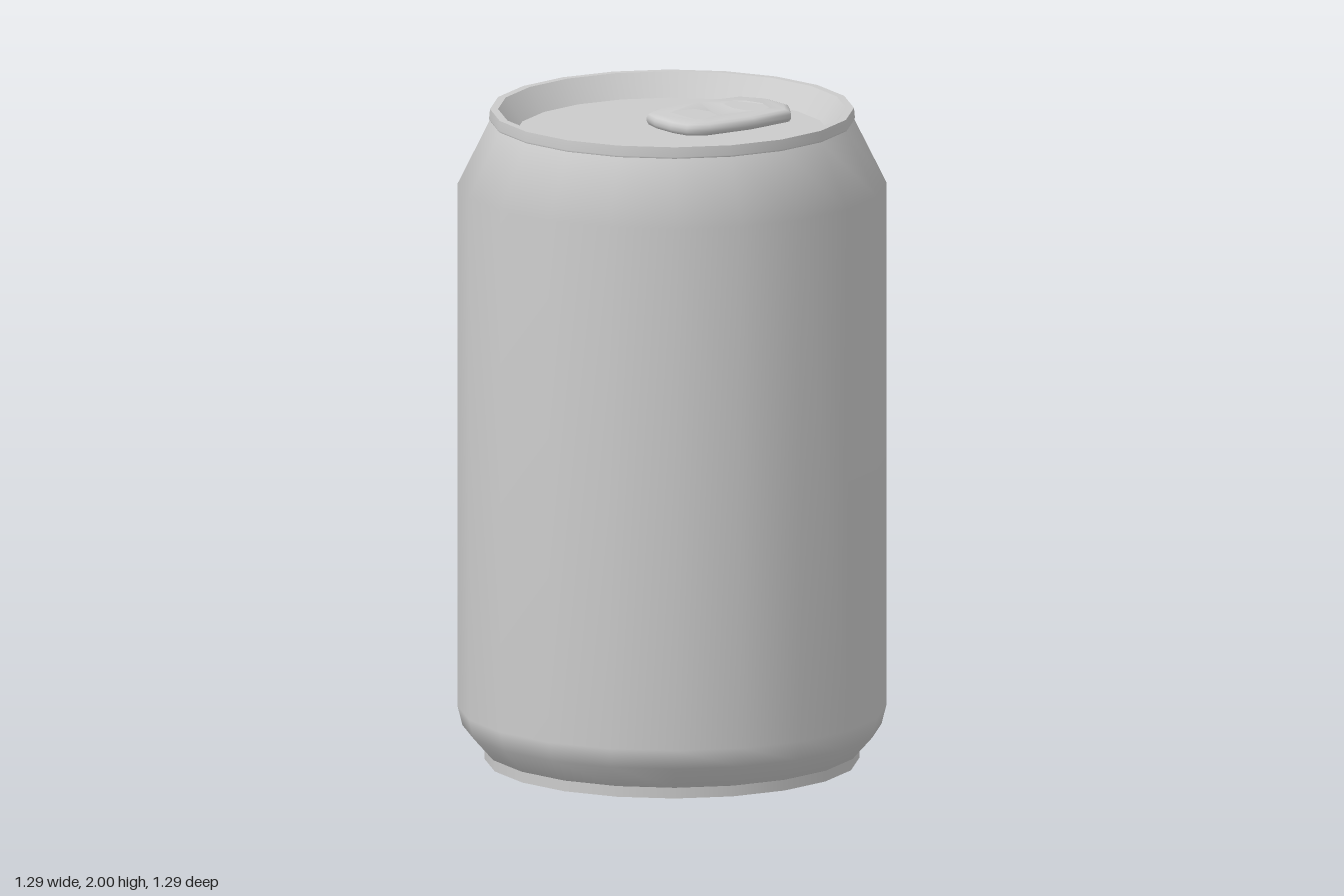
import * as THREE from 'three';
import { mergeVertices, toCreasedNormals } from 'three/addons/utils/BufferGeometryUtils.js';

const SIDES = 20;
const FLOOR = 1.93; // height of the lid panel

export function createModel() {
  const group = new THREE.Group();
  group.name = 'drinkCan';
  const material = new THREE.MeshStandardMaterial({ color: 0xcccccc, roughness: 0.6 });

  const add = (name, geometry) => {
    const mesh = new THREE.Mesh(geometry, material);
    mesh.name = name;
    group.add(mesh);
    return mesh;
  };
  // Each turned part is smooth in itself; edges between parts stay sharp.
  const turn = (name, profile) =>
    add(name, new THREE.LatheGeometry(profile.map(([r, y]) => new THREE.Vector2(r, y)), SIDES));

  // Underside, foot and wall, running from the bottom centre to the top centre
  turn('bottomDome', [[0, 0.14], [0.25, 0.12], [0.41, 0.075], [0.5, 0]]);
  turn('footUnderside', [[0.5, 0], [0.563, 0]]);
  turn('footRing', [[0.563, 0], [0.563, 0.033]]);
  turn('footStep', [[0.563, 0.033], [0.568, 0.035]]);
  turn('body', [[0.568, 0.035], [0.63, 0.105], [0.645, 0.165], [0.645, 1.77], [0.548, 1.965]]);
  turn('rimOutside', [[0.548, 1.965], [0.55, 1.97], [0.547, 2]]);
  turn('rimTop', [[0.547, 2], [0.523, 2]]);
  turn('rimInside', [[0.523, 2], [0.47, FLOOR]]);
  turn('lid', [[0.47, FLOOR], [0, FLOOR]]);

  // Pull tab: half outlines in x, z, mirrored across x = 0
  const mirrored = (half) => {
    const left = half.filter(([x]) => x > 0).reverse().map(([x, z]) => [-x, z]);
    return [...half, ...left].map(([x, z]) => new THREE.Vector2(x, -z));
  };
  const outline = [[0.055, -0.4], [0.13, -0.35], [0.148, -0.2], [0.136, -0.04], [0.1, 0.02], [0.04, 0.035]];
  const fingerHole = [[0, -0.357], [0.075, -0.333], [0.1, -0.285], [0.075, -0.225], [0, -0.207]];
  const rivetHole = [[0, -0.162], [0.07, -0.142], [0.086, -0.07], [0.08, -0.022]];

  const shape = new THREE.Shape(mirrored(outline));
  shape.holes = [fingerHole, rivetHole].map((h) => new THREE.Path(mirrored(h)));
  let tab = new THREE.ExtrudeGeometry(shape, {
    depth: 0.012, bevelThickness: 0.014, bevelSize: 0.018, bevelOffset: -0.018, bevelSegments: 2,
  });
  tab.deleteAttribute('uv');
  tab.deleteAttribute('normal');
  tab = toCreasedNormals(mergeVertices(tab, 1e-4), 1.2);
  tab.rotateX(-Math.PI / 2);
  add('pullTab', tab).position.y = FLOOR + 0.016;

  return group;
}
